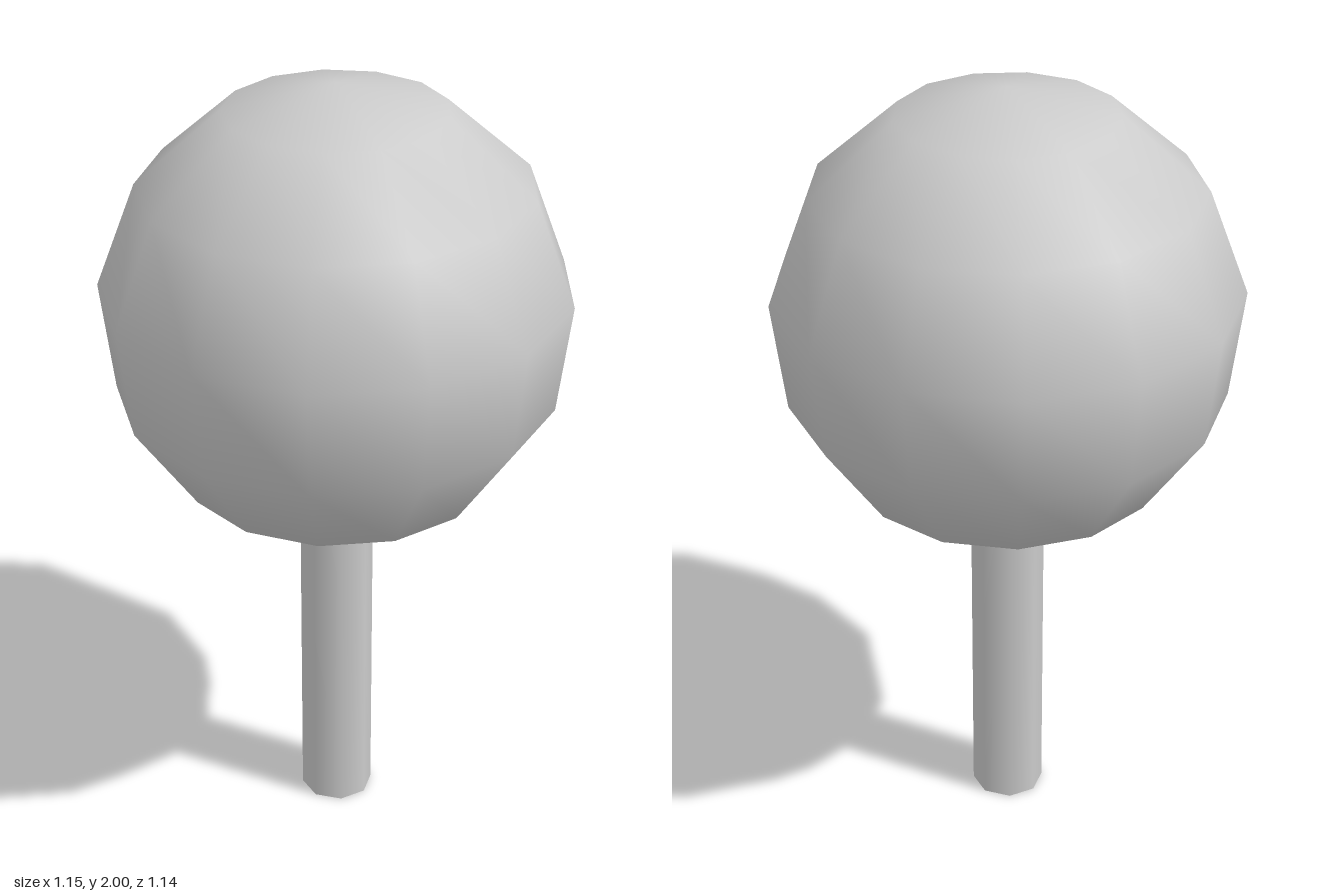
import * as THREE from 'three';

const SIDES = 13;
const RADIUS = 0.581;
const CENTRE_Y = 1.419;

export function createModel() {
  const model = new THREE.Group();
  model.name = 'ballOnPost';
  const material = new THREE.MeshStandardMaterial({ color: 0xcccccc, side: THREE.DoubleSide });

  // Ball: thirteen-sided profile turned around the vertical axis, corner to the back
  const profile = [new THREE.Vector2(0, -RADIUS)];
  for (let ring = 5; ring >= 0; ring--) {
    const angle = (ring * 2 * Math.PI) / SIDES;
    profile.push(new THREE.Vector2(RADIUS * Math.sin(angle), RADIUS * Math.cos(angle)));
  }
  const ballGeometry = new THREE.LatheGeometry(profile, SIDES, Math.PI);

  // Round shading over the coarse facets
  const position = ballGeometry.attributes.position;
  const normal = new THREE.Vector3();
  for (let i = 0; i < position.count; i++) {
    normal.fromBufferAttribute(position, i).normalize();
    ballGeometry.attributes.normal.setXYZ(i, normal.x, normal.y, normal.z);
  }
  const ball = new THREE.Mesh(ballGeometry, material);
  ball.name = 'ball';
  ball.position.set(0, CENTRE_Y, 0.006);
  model.add(ball);

  // Post: open tube that ends where it meets the underside of the ball
  const height = 0.868;
  const post = new THREE.Mesh(new THREE.CylinderGeometry(0.093, 0.093, height, 8, 1, true), material);
  post.name = 'post';
  post.position.set(0, height / 2, 0.006);
  model.add(post);

  return model;
}
